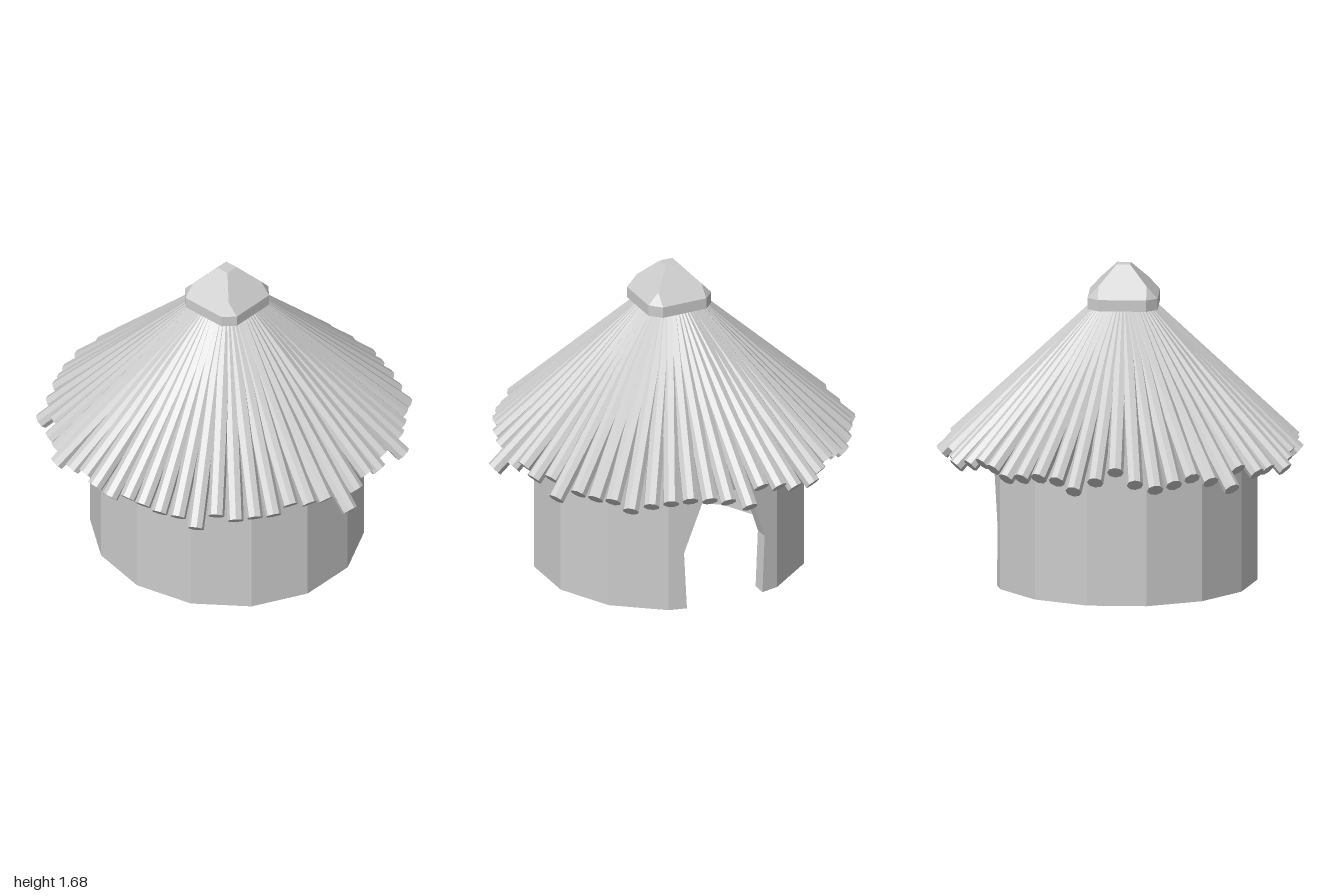
import * as THREE from 'three';
import { ConvexGeometry } from 'three/addons/geometries/ConvexGeometry.js';

const material = new THREE.MeshStandardMaterial({ color: 0xcccccc, flatShading: true });
const SIDES = 14, STEP = (Math.PI * 2) / SIDES;
const RX = 0.70, RZ = 0.728, THICK = 0.08, HEIGHT = 0.88;

function part(name, geometry) {
  const mesh = new THREE.Mesh(geometry, material);
  mesh.name = name;
  return mesh;
}

// Closed part of the wall: a C-shaped plan, leaving out the two door panels
function wall() {
  const ring = (inset) => Array.from({ length: SIDES - 1 }, (_, i) => {
    const a = (i + 1) * STEP;
    return new THREE.Vector2((RX - inset) * Math.cos(a), (RZ - inset) * Math.sin(a));
  });
  const shape = new THREE.Shape([...ring(0), ...ring(THICK).reverse()]);
  const geometry = new THREE.ExtrudeGeometry(shape, { depth: HEIGHT, bevelEnabled: false });
  return part('wall', geometry.rotateX(-Math.PI / 2));
}

// Panel with half of the door arch, sheared to follow the wall; side is +1 or -1 in z
function doorPanel(side) {
  const width = RZ * Math.sin(STEP);
  const outline = [[0, HEIGHT], [0, 0.66], [0.135, 0.61], [0.235, 0.32], [0.22, 0], [width, 0], [width, HEIGHT]];
  const shape = new THREE.Shape(outline.map(([a, b]) => new THREE.Vector2(a, b)));
  const geometry = new THREE.ExtrudeGeometry(shape, { depth: THICK, bevelEnabled: false });
  const p = geometry.attributes.position;
  for (let i = 0; i < p.count; i++) {
    const a = p.getX(i), c = p.getZ(i);
    const face = RX * (1 - (1 - Math.cos(STEP)) * a / width);
    p.setXYZ(i, side > 0 ? face - c : face - THICK + c, p.getY(i), side * a);
  }
  geometry.computeVertexNormals();
  return part(side > 0 ? 'doorPanelFront' : 'doorPanelBack', geometry);
}

// Thatch: poles fanning out from under the cap, each with its own reach
function thatch() {
  const reach = [
    0.94, 0.93, 0.94, 0.91, 0.99, 0.94, 0.94, 0.95, 0.98, 0.95, 0.94, 0.93, 0.94, 0.94,
    0.98, 0.92, 0.94, 0.95, 0.98, 0.95, 0.94, 0.95, 0.96, 0.96, 0.96, 0.96, 1.0, 0.95,
    0.91, 0.97, 0.98, 0.96, 0.95, 0.96, 1.0, 0.92, 0.96, 0.95, 0.99, 0.95, 0.93, 0.95,
    0.94, 0.92, 0.93, 0.94, 0.94, 0.97, 0.93, 0.93, 0.93, 0.93, 0.91, 0.93, 0.93, 1.0,
  ];
  const group = new THREE.Group();
  group.name = 'thatch';
  let seed = 7;
  const random = () => (seed = (seed * 16807) % 2147483647) / 2147483647;
  reach.forEach((R, i) => {
    const angle = (i / reach.length) * Math.PI * 2;
    const at = (r, y) => new THREE.Vector3(Math.sin(angle) * r, y, Math.cos(angle) * r);
    const r = R - 0.03;
    const top = at(0.12, 1.46);
    const end = at(r, 0.705 - (r - 0.91) * 0.9 + (random() - 0.5) * 0.035);
    const axis = top.clone().sub(end);
    const pole = part('thatchPole', new THREE.CylinderGeometry(0.043, 0.043, axis.length(), 8));
    pole.position.copy(top).add(end).multiplyScalar(0.5);
    pole.quaternion.setFromUnitVectors(new THREE.Vector3(0, 1, 0), axis.normalize());
    group.add(pole);
  });
  return group;
}

// Roof cap: square block with cut corners below a clipped pyramid
function roofCap() {
  const half = 0.183, cut = 0.057, tip = 0.036, y0 = 1.46, y1 = 1.52, y2 = 1.68;
  const inner = half - cut;
  const shoulder = y1 + (y2 - y1) * cut / (half - tip);
  const points = [];
  for (const sx of [-1, 1]) for (const sz of [-1, 1]) {
    const add = (x, y, z) => points.push(new THREE.Vector3(sx * x, y, sz * z));
    for (const y of [y0, y1]) {
      add(half, y, inner);
      add(inner, y, half);
    }
    add(inner, shoulder, inner);
    add(tip, y2, tip);
  }
  return part('roofCap', new ConvexGeometry(points));
}

export function createModel() {
  const model = new THREE.Group();
  model.name = 'roundHut';
  const hut = new THREE.Group();
  hut.name = 'hut';
  hut.position.set(-0.018, 0, -0.01);
  hut.add(wall(), doorPanel(1), doorPanel(-1), thatch(), roofCap());
  model.add(hut);
  return model;
}
